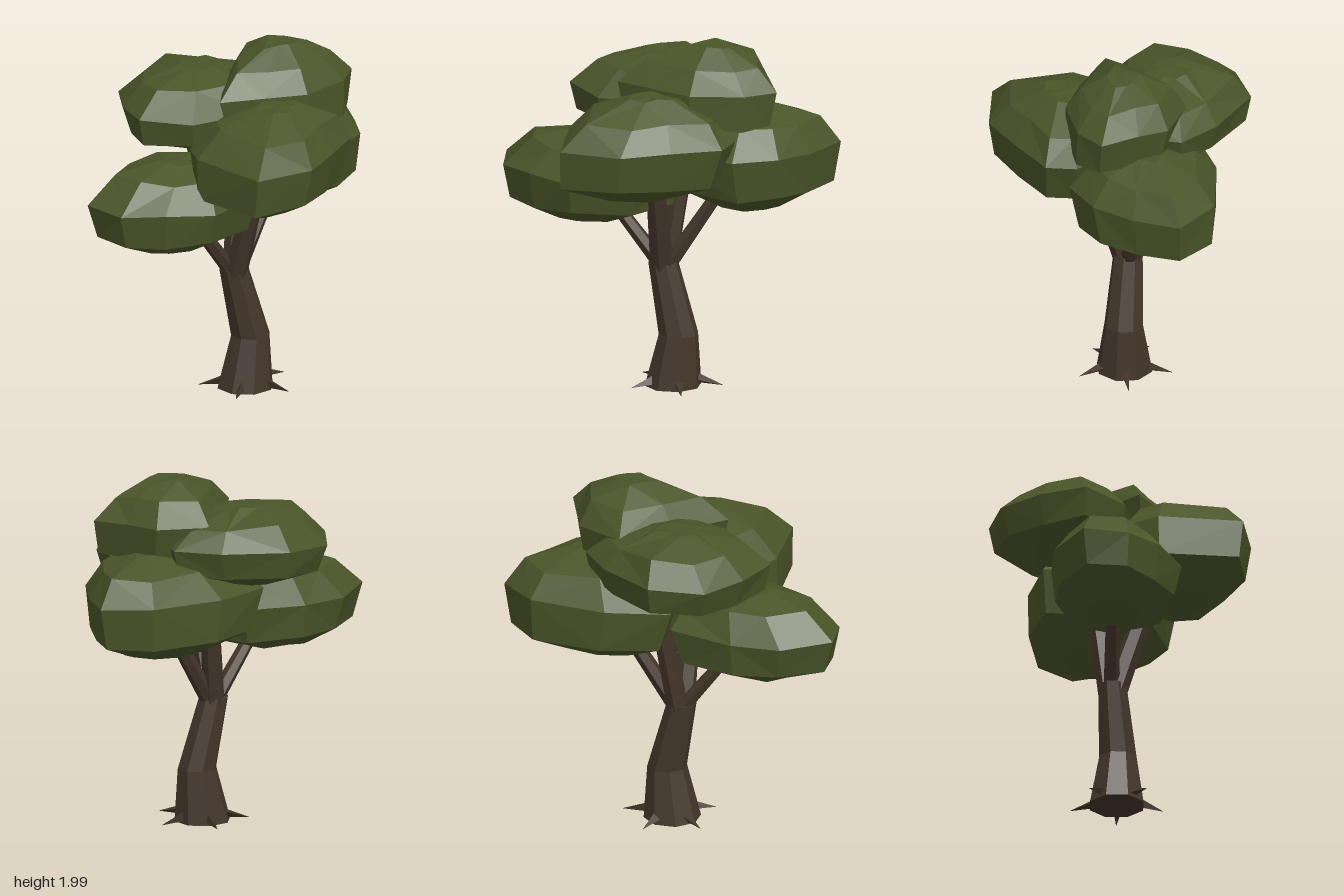
import * as THREE from 'three';

// Joins horizontal rings of points into a closed faceted skin
function loft(rings) {
  const n = rings[0].length, pos = [];
  const tri = (a, b, c) => pos.push(...a, ...b, ...c);
  const mid = (r) => [0, 1, 2].map((k) => r.reduce((s, p) => s + p[k], 0) / n);
  for (let j = 0; j < rings.length - 1; j++) {
    for (let i = 0; i < n; i++) {
      const k = (i + 1) % n, lo = rings[j], hi = rings[j + 1];
      if ((i + j) % 2) { tri(lo[i], lo[k], hi[k]); tri(lo[i], hi[k], hi[i]); }
      else { tri(lo[i], lo[k], hi[i]); tri(lo[k], hi[k], hi[i]); }
    }
  }
  const bottom = rings[0], top = rings[rings.length - 1];
  for (let i = 0; i < n; i++) {
    const k = (i + 1) % n;
    tri(bottom[k], bottom[i], mid(bottom));
    tri(top[i], top[k], mid(top));
  }
  const g = new THREE.BufferGeometry();
  g.setAttribute('position', new THREE.Float32BufferAttribute(pos, 3));
  g.computeVertexNormals();
  return g;
}

// Leaf clump: plan outline at its widest, heights of bottom, lower edge, waist,
// shoulder and top, and sideways shifts of the lower edge and the top
function clump(outline, [y0, y1, y2, y3, y4], low, high, seed) {
  const rand = () => ((seed = (seed * 16807) % 2147483647) / 2147483647) - 0.5;
  const cx = outline.reduce((s, p) => s + p[0], 0) / outline.length;
  const cz = outline.reduce((s, p) => s + p[1], 0) / outline.length;
  const levels = [
    [y0, 0.42, 0.02, low], [y1, 0.91, 0.03, low], [y2, 1, 0.02, [0, 0]],
    [y3, 0.73, 0.05, high], [y4 - 0.015, 0.26, 0.02, high],
  ];
  return loft(levels.map(([y, s, jitter, [dx, dz]]) => outline.map(([x, z]) => {
    const f = s === 1 ? 1 : s + rand() * 0.09;
    return [cx + dx + (x - cx) * f, y + rand() * jitter, cz + dz + (z - cz) * f];
  })));
}

export function createModel() {
  const group = new THREE.Group();
  const leaf = new THREE.MeshStandardMaterial({ color: 0x4a5529 });
  const bark = new THREE.MeshStandardMaterial({ color: 0x44362a });
  leaf.name = 'leaf green';
  bark.name = 'bark brown';
  leaf.flatShading = bark.flatShading = true;
  const add = (name, geometry, material) => {
    const mesh = new THREE.Mesh(geometry, material);
    mesh.name = name;
    group.add(mesh);
    return mesh;
  };

  // Bent trunk: y, radius, centre x, centre z
  const trunkRings = [[0, 0.16, 0.038, -0.022], [0.3, 0.111, 0.07, -0.015], [0.7, 0.084, -0.022, -0.047]];
  add('trunk', loft(trunkRings.map(([y, r, x, z]) => Array.from({ length: 8 }, (_, i) => {
    const a = (i + 0.5) / 8 * Math.PI * 2;
    return [x + Math.sin(a) * r, y, z + Math.cos(a) * r];
  }))), bark);

  // Straight tapered limb between two points
  const limb = (name, from, to, r0, r1, sides) => {
    const a = new THREE.Vector3(...from), b = new THREE.Vector3(...to);
    const mesh = add(name, new THREE.CylinderGeometry(r1, r0, a.distanceTo(b), sides), bark);
    mesh.position.copy(a).add(b).multiplyScalar(0.5);
    mesh.quaternion.setFromUnitVectors(new THREE.Vector3(0, 1, 0), b.sub(a).normalize());
  };
  limb('rightBranch', [-0.04, 0.69, -0.05], [-0.36, 1.1, -0.05], 0.045, 0.034, 6);
  limb('frontBranch', [-0.025, 0.67, -0.03], [-0.03, 1.28, 0.17], 0.068, 0.052, 6);
  limb('leftBranch', [0.0, 0.67, -0.05], [0.32, 1.16, -0.08], 0.05, 0.038, 6);
  limb('backBranch', [-0.01, 0.66, -0.065], [0.11, 1.45, -0.16], 0.06, 0.052, 6);

  // Five pointed roots around the foot
  for (let i = 0; i < 5; i++) {
    const a = i / 5 * Math.PI * 2;
    const at = (r, y) => [0.052 + Math.cos(a) * r, y, -0.02 + Math.sin(a) * r];
    limb('root', at(0.1, 0.047), at(0.27, 0.012), 0.036, 0.001, 3);
  }

  // Canopy clumps
  add('rightLeaves', clump([
    [-0.94, -0.22], [-0.91, 0.03], [-0.73, 0.2], [-0.48, 0.33], [-0.1, 0.26],
    [0.09, 0], [-0.03, -0.3], [-0.4, -0.39], [-0.68, -0.38],
  ], [0.95, 1.04, 1.23, 1.37, 1.45], [0, 0], [0.05, 0], 11), leaf);
  add('frontLeaves', clump([
    [-0.46, 0.67], [-0.11, 0.72], [0.15, 0.6], [0.41, 0.45], [0.45, 0.28],
    [0.25, 0], [-0.1, -0.08], [-0.4, 0.02], [-0.5, 0.2],
  ], [1.19, 1.29, 1.51, 1.65, 1.77], [-0.03, 0], [0.02, 0], 23), leaf);
  add('leftLeaves', clump([
    [0.94, -0.25], [0.73, -0.46], [0.29, -0.51], [-0.07, -0.43], [-0.03, 0],
    [0.1, 0.22], [0.44, 0.32], [0.68, 0.21], [0.82, 0],
  ], [1.05, 1.16, 1.39, 1.55, 1.63], [0.02, -0.02], [0.02, 0], 37), leaf);
  add('backLeaves', clump([
    [-0.02, -0.73], [-0.33, -0.67], [-0.49, -0.45], [-0.58, -0.2], [-0.38, 0.02],
    [0, 0.1], [0.35, 0], [0.46, -0.3], [0.29, -0.51],
  ], [1.42, 1.5, 1.65, 1.78, 1.86], [0, 0], [0.02, 0], 41), leaf);
  add('topLeaves', clump([
    [-0.25, 0.1], [-0.03, 0.22], [0.2, 0.32], [0.5, 0.28], [0.66, 0.16],
    [0.58, -0.05], [0.52, -0.22], [0.25, -0.35], [0, -0.15],
  ], [1.55, 1.58, 1.77, 1.91, 2.0], [0, 0.02], [0, -0.01], 59), leaf);
  return group;
}
